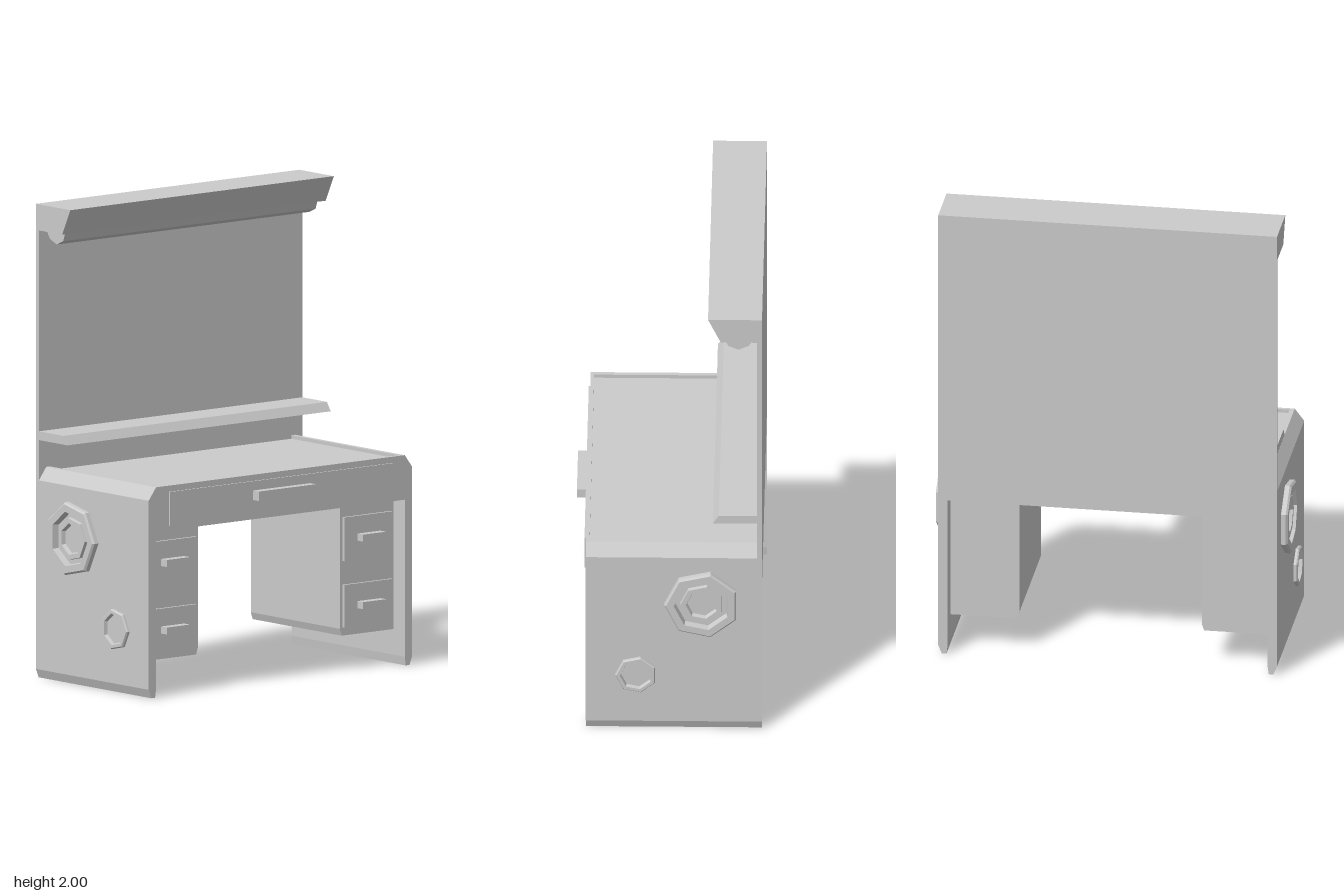
import * as THREE from 'three';

const mat = new THREE.MeshStandardMaterial({ color: 0xcccccc, flatShading: true });

export function createModel() {
  const model = new THREE.Group();

  function add(name, geometry, x = 0, y = 0, z = 0) {
    const mesh = new THREE.Mesh(geometry, mat);
    mesh.name = name;
    mesh.position.set(x, y, z);
    model.add(mesh);
    return mesh;
  }

  // box given by its limits on each axis
  function box(name, x0, x1, y0, y1, z0, z1) {
    return add(name, new THREE.BoxGeometry(x1 - x0, y1 - y0, z1 - z0),
      (x0 + x1) / 2, (y0 + y1) / 2, (z0 + z1) / 2);
  }

  const prism = (points, depth) => new THREE.ExtrudeGeometry(
    new THREE.Shape(points.map(([a, b]) => new THREE.Vector2(a, b))),
    { depth, bevelEnabled: false });

  // (x, y) profile running across the full width, centred on z
  const alongZ = (name, points, half) => add(name, prism(points, half * 2), 0, 0, -half);

  // (z, y) profile running from x0 to x1
  const alongX = (name, points, x0, x1) =>
    add(name, prism(points.map(([z, y]) => [-z, y]), x1 - x0).rotateY(Math.PI / 2), x0);

  // seven-sided raised ring on a side panel
  function ring(name, profile, x, y, side) {
    const geo = new THREE.LatheGeometry(profile.map(([r, h]) => new THREE.Vector2(r, h)), 7, Math.PI / 2);
    geo.rotateX(side * Math.PI / 2);
    add(name, geo, x, y, side * 0.715);
  }

  // desk body: chamfered shoulders and a sunken writing surface
  const half = [[0.675, 0.7], [0.715, 0.7], [0.715, 0.835], [0.675, 0.888], [0.655, 0.888], [0.655, 0.873]];
  const mirrored = half.map(([z, y]) => [-z, y]).reverse();
  alongX('deskTop', [...half, ...mirrored], -0.37, 0.345);
  box('deskTopFrontRim', 0.33, 0.345, 0.873, 0.888, -0.655, 0.655);

  // wide front drawer and its pull
  box('wideDrawer', 0.34, 0.352, 0.718, 0.862, -0.605, 0.605);
  box('wideDrawerHandle', 0.35, 0.39, 0.783, 0.823, -0.155, 0.155);

  for (const s of [1, -1]) {
    // side panel with a narrowed foot
    alongX('sidePanel', [[0.68, 0], [0.7, 0], [0.715, 0.037], [0.715, 0.7], [0.675, 0.7], [0.675, 0.037]]
      .map(([z, y]) => [s * z, y]), -0.39, 0.345);

    // drawer pedestal, set back from both edges of the panel
    alongX('pedestal', [[0.395, 0.145], [0.675, 0.145], [0.675, 0.7], [0.385, 0.7], [0.385, 0.175]]
      .map(([z, y]) => [s * z, y]), -0.31, 0.27);
    for (const [y0, y1, handleY] of [[0.18, 0.36, 0.27], [0.46, 0.645, 0.555]]) {
      const drawer = box('drawer', 0.262, 0.282, y0, y1, 0.4, 0.66);
      const handle = box('drawerHandle', 0.28, 0.32, handleY - 0.015, handleY + 0.015, 0.47, 0.595);
      drawer.position.z *= s;
      handle.position.z *= s;
    }

    // side ornaments
    ring('largeOuterRing', [[0.158, 0], [0.158, 0.02], [0.15, 0.028], [0.118, 0.028], [0.112, 0]], -0.14, 0.615, s);
    ring('largeInnerRing', [[0.092, 0], [0.09, 0.018], [0.068, 0.018], [0.062, 0]], -0.14, 0.615, s);
    ring('smallRing', [[0.087, 0], [0.087, 0.01], [0.082, 0.016], [0.068, 0.016], [0.063, 0]], 0.135, 0.267, s);
  }

  // tall back panel, shelf, hood and lamp strip
  box('backPanel', -0.39, -0.37, 0.7, 1.89, -0.715, 0.715);
  alongZ('shelf', [[-0.37, 1.005], [-0.185, 1.005], [-0.21, 1.042], [-0.37, 1.042]], 0.715);
  alongZ('hood', [[-0.39, 1.89], [-0.218, 1.89], [-0.165, 2], [-0.39, 2]], 0.715);
  alongZ('lampStrip', [[-0.355, 1.89], [-0.335, 1.856], [-0.29, 1.837], [-0.248, 1.856], [-0.235, 1.89]], 0.685);

  return model;
}
